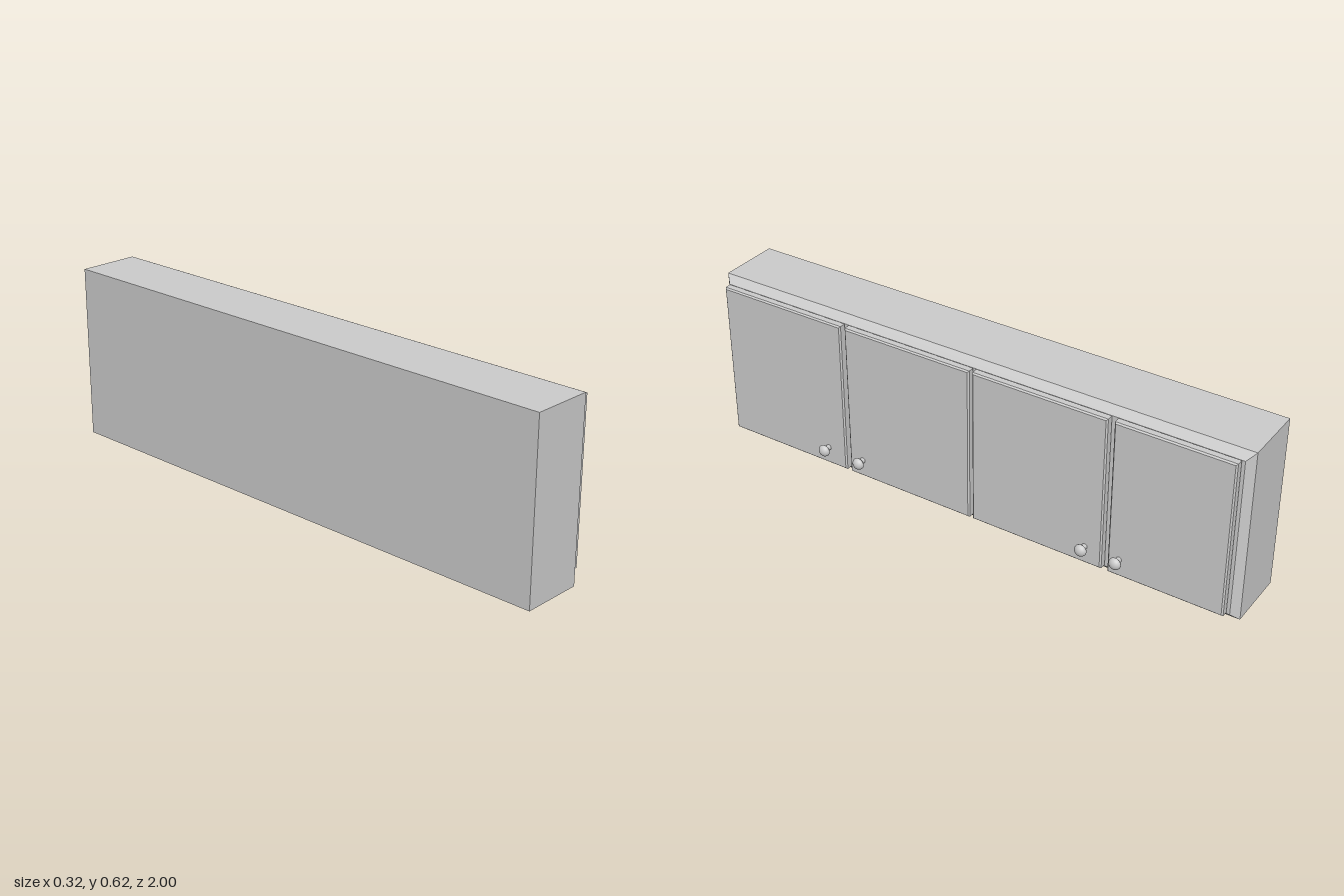
import * as THREE from 'three';

const grey = new THREE.MeshStandardMaterial({ color: 0xcccccc, flatShading: true });
const smooth = new THREE.MeshStandardMaterial({ color: 0xcccccc });

// Slab from x0 to x1 whose front edges are chamfered, starting at xs, by inset
function chamferedSlab(name, x0, xs, x1, y0, y1, z0, z1, inset) {
  const cy = (y0 + y1) / 2, cz = (z0 + z1) / 2;
  const geo = new THREE.BoxGeometry(2, y1 - y0, z1 - z0, 2, 1, 1);
  const p = geo.attributes.position;
  for (let i = 0; i < p.count; i++) {
    const step = Math.round(p.getX(i)); // -1 back, 0 shoulder, 1 front
    const cut = step === 1 ? inset : 0;
    const y = p.getY(i), z = p.getZ(i);
    p.setXYZ(i, [x0, xs, x1][step + 1],
      cy + y - Math.sign(y) * cut, cz + z - Math.sign(z) * cut);
  }
  const flat = geo.toNonIndexed();
  flat.computeVertexNormals();
  const mesh = new THREE.Mesh(flat, grey);
  mesh.name = name;
  return mesh;
}

// Round knob: thin stem, flared underside and domed head
function knob(z) {
  const group = new THREE.Group();
  group.name = 'knob';
  const stem = new THREE.Mesh(new THREE.CylinderGeometry(0.01, 0.01, 0.018, 20), smooth);
  stem.position.y = 0.007;
  stem.name = 'knobStem';
  const profile = [[0, 0.014], [0.011, 0.014], [0.021, 0.023]];
  for (let i = 0; i <= 8; i++) {
    const a = (i / 8) * Math.PI / 2;
    profile.push([0.0215 * Math.cos(a), 0.025 + 0.017 * Math.sin(a)]);
  }
  const head = new THREE.Mesh(
    new THREE.LatheGeometry(profile.map(([r, y]) => new THREE.Vector2(Math.max(r, 0), y)), 20), smooth);
  head.name = 'knobHead';
  group.add(stem, head);
  group.rotation.z = -Math.PI / 2;
  group.position.set(0.116, 0.099, z);
  return group;
}

export function createModel() {
  const model = new THREE.Group();
  model.name = 'wallCabinet';

  // Cabinet body
  model.add(chamferedSlab('cabinetBody', -0.16, 0.06, 0.085, 0, 0.623, -1, 1, 0.025));

  // Doors: z start, z end, knob z
  const doors = [
    [0.478, 0.97, 0.553],
    [-0.03, 0.461, 0.407],
    [-0.533, -0.042, -0.472],
    [-0.965, -0.556, -0.597],
  ];
  for (const [z0, z1, zKnob] of doors) {
    model.add(chamferedSlab('door', 0.089, 0.111, 0.116, 0.033, 0.6, z0, z1, 0.005));
    model.add(knob(zKnob));
  }
  return model;
}
